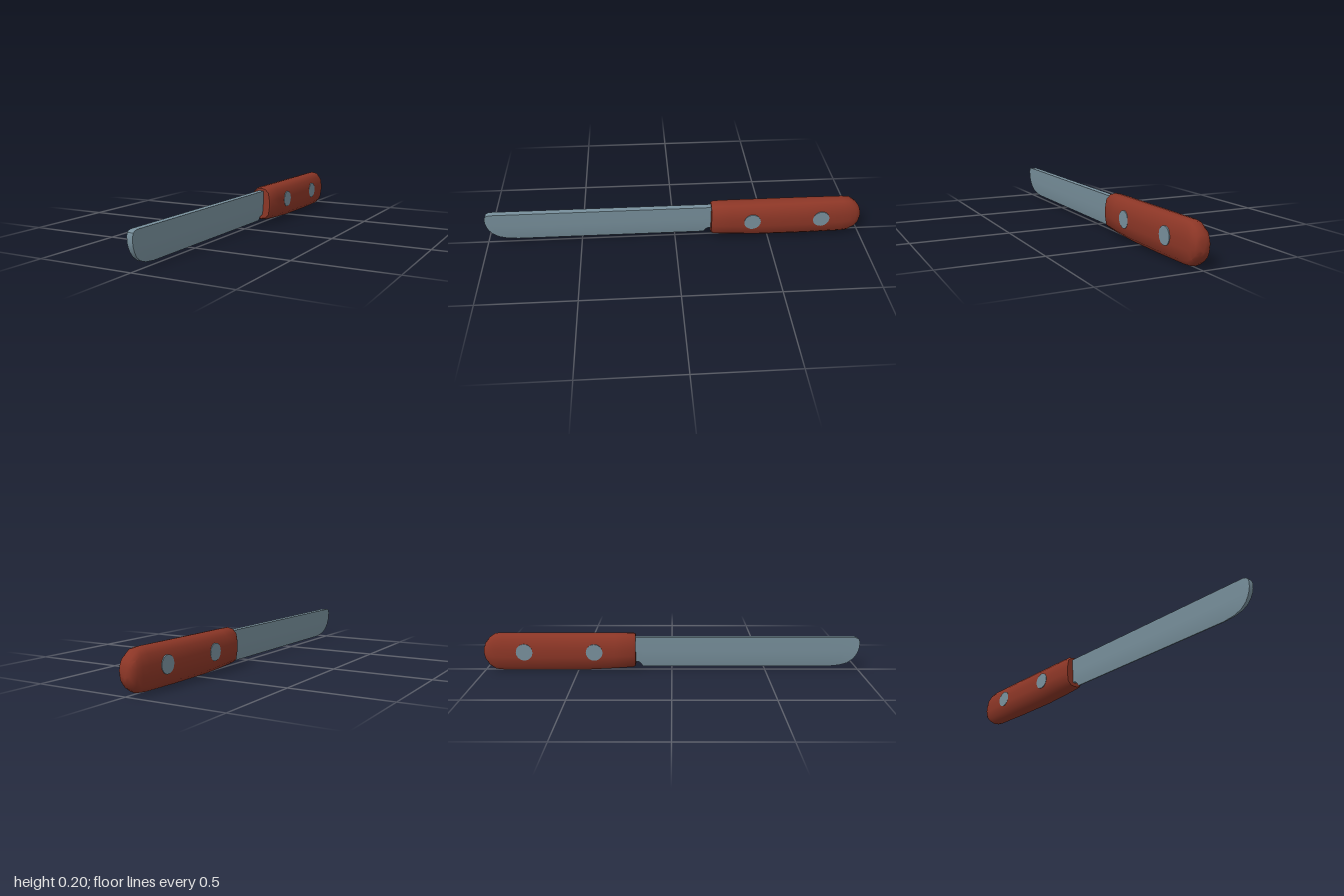
import * as THREE from 'three';
import { toCreasedNormals } from 'three/addons/utils/BufferGeometryUtils.js';

// Skin a list of rings (back to front, counter-clockwise from +z) and cap both ends.
function loft(rings, crease) {
  const n = rings[0].length, index = [];
  for (let i = 0; i < rings.length - 1; i++) {
    for (let j = 0; j < n; j++) {
      const a = i * n + j, b = i * n + (j + 1) % n;
      index.push(a, b, b + n, a, b + n, a + n);
    }
  }
  const last = (rings.length - 1) * n;
  for (let j = 1; j < n - 1; j++) {
    index.push(0, j + 1, j, last, last + j, last + j + 1);
  }
  const geo = new THREE.BufferGeometry();
  geo.setAttribute('position', new THREE.Float32BufferAttribute(rings.flat(2), 3));
  geo.setIndex(index);
  return toCreasedNormals(geo, crease);
}

// Close a right-hand half profile (bottom to top) with its mirror image.
const mirrorRing = (half) => [
  ...half,
  ...half.filter((p) => p[0] > 1e-6).reverse().map(([x, y, z]) => [-x, y, z]),
];

// Half thickness of the blade at height y: thick spine, thin cutting edge.
const taper = [[0.02, 0.003], [0.05, 0.0095], [0.1, 0.0135], [0.183, 0.016]];
function bladeHalf(y) {
  for (let i = 1; i < taper.length; i++) {
    const [y0, w0] = taper[i - 1], [y1, w1] = taper[i];
    if (y <= y1) return w0 + (w1 - w0) * (y - y0) / (y1 - y0);
  }
  return 0.016;
}

export function createModel() {
  const group = new THREE.Group();
  const steel = new THREE.MeshStandardMaterial({ color: 0x78909c });
  const wood = new THREE.MeshStandardMaterial({ color: 0x8c3626 });
  const add = (name, geo, mat) => {
    const mesh = new THREE.Mesh(geo, mat);
    mesh.name = name;
    group.add(mesh);
    return mesh;
  };

  // Handle: rounded section (fraction of half width, fraction of height)
  const section = [
    [0, 0], [0.5, 0.025], [0.87, 0.13], [1, 0.39],
    [1, 0.6], [0.87, 0.85], [0.5, 0.967], [0, 1],
  ];
  // z, half width, bottom, top
  const handleStations = [
    [-1, 0.026, 0.08, 0.132],
    [-0.992, 0.036, 0.057, 0.153],
    [-0.972, 0.045, 0.029, 0.179],
    [-0.94, 0.049, 0.007, 0.202],
    [-0.9, 0.053, 0.003, 0.206],
    [-0.7, 0.06, 0.002, 0.205],
    [-0.45, 0.062, 0.004, 0.204],
    [-0.3, 0.061, 0.012, 0.204],
    [-0.205, 0.059, 0.019, 0.203],
    [-0.193, 0.052, 0.026, 0.197],
  ];
  add('handle', loft(handleStations.map(([z, w, lo, hi]) =>
    mirrorRing(section.map(([u, v]) => [u * w, lo + (hi - lo) * v, z]))), 0.85), wood);

  // Blade: z, bottom, top, with the notched heel and rounded tip
  const bladeStations = [
    [-0.25, 0.048, 0.183],
    [-0.18, 0.048, 0.183],
    [-0.168, 0.04, 0.183],
    [-0.155, 0.02, 0.183],
    [0.84, 0.02, 0.183],
    [0.9, 0.027, 0.183],
    [0.94, 0.04, 0.183],
    [0.97, 0.063, 0.183],
    [0.985, 0.085, 0.179],
    [0.995, 0.108, 0.172],
    [1, 0.13, 0.158],
  ];
  add('blade', loft(bladeStations.map(([z, lo, hi]) =>
    mirrorRing([0, 0.2, 0.5, 1].map((t) => {
      const y = lo + (hi - lo) * t;
      return [bladeHalf(y), y, z];
    }))), 0.5), steel);

  // Rivets passing through the handle
  for (const [z, half] of [[-0.41, 0.063], [-0.78, 0.059]]) {
    const rivet = add('rivet', new THREE.CylinderGeometry(0.044, 0.044, half * 2, 24), steel);
    rivet.rotation.z = Math.PI / 2;
    rivet.position.set(0, 0.111, z);
  }

  return group;
}
